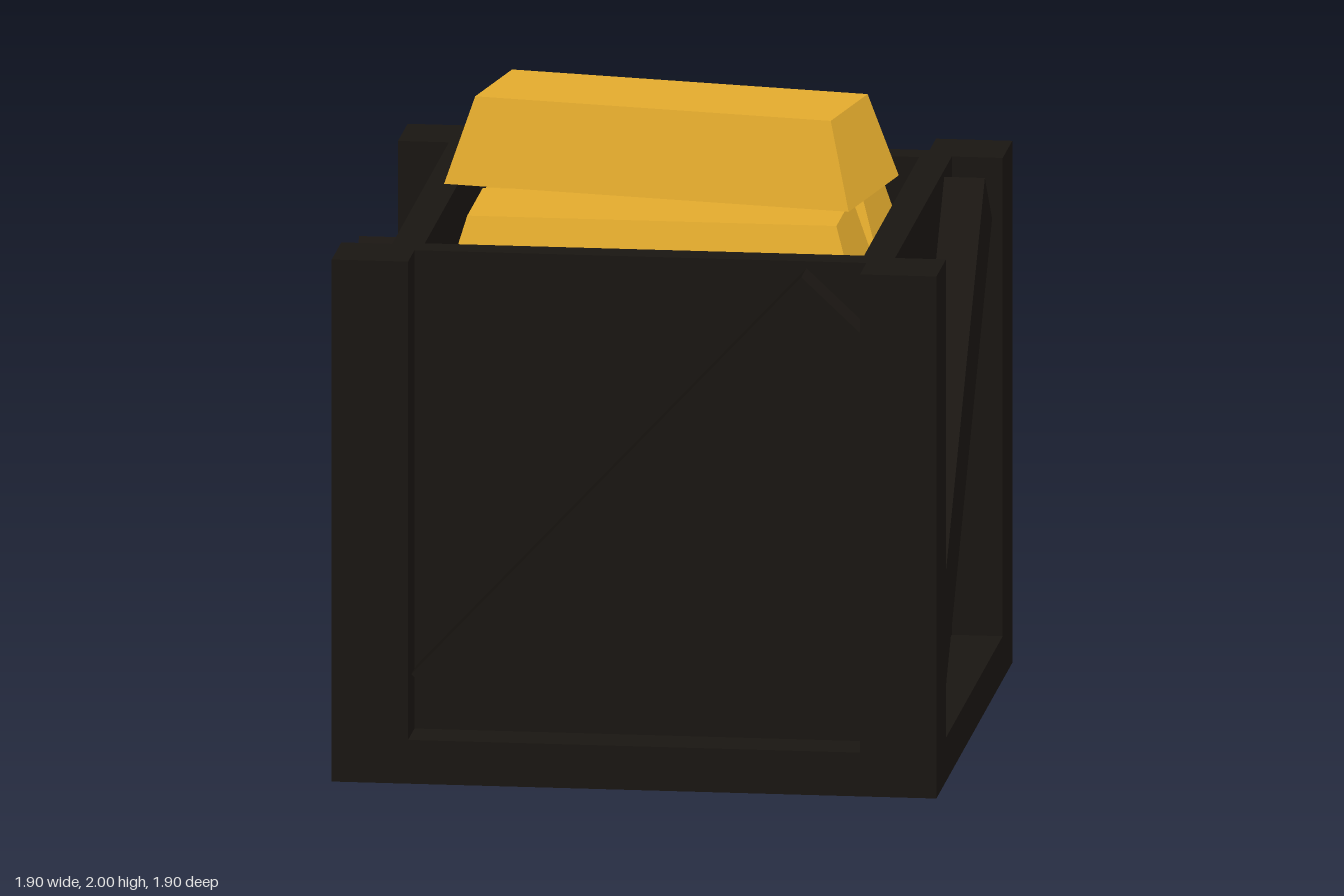
import * as THREE from 'three';

const HALF = 0.95, HEIGHT = 1.67, BEAM = 0.24, BASE = 0.14;

export function createModel() {
  const model = new THREE.Group();
  const wood = new THREE.MeshStandardMaterial({ color: 0x1a1612, flatShading: true });
  const gold = new THREE.MeshStandardMaterial({ color: 0xe6ad2e, flatShading: true });

  function box(parent, name, w, h, d, x, y, z, material = wood) {
    const mesh = new THREE.Mesh(new THREE.BoxGeometry(w, h, d), material);
    mesh.name = name;
    mesh.position.set(x, y, z);
    parent.add(mesh);
    return mesh;
  }

  // Four identical crate sides, turned about the vertical axis
  const inner = HALF - BEAM;
  for (let i = 0; i < 4; i++) {
    const side = new THREE.Group();
    side.name = 'crateSide';
    side.rotation.y = i * Math.PI / 2;
    const mid = HALF - BEAM / 2;
    box(side, 'cornerPost', BEAM, HEIGHT, BEAM, mid, HEIGHT / 2, mid);
    box(side, 'bottomRail', 2 * inner, BASE, BEAM, 0, BASE / 2, mid);
    box(side, 'panel', 1.48, HEIGHT - BASE, 0.1, 0, (HEIGHT + BASE) / 2, 0.74);
    const brace = box(side, 'diagonalBrace', 1.79, 0.25, 0.135, 0, 0.91, 0.85);
    brace.rotation.z = 0.817;
    model.add(side);
  }
  box(model, 'floor', 2 * inner, 0.06, 2 * inner, 0, BASE + 0.03, 0);

  // Gold layer filling the crate below the loose bars
  box(model, 'goldFill', 1.38, 0.3, 1.38, 0, 1.27, 0, gold);

  // Gold bar: a box whose top face is narrowed
  const barShape = new THREE.BoxGeometry(1.32, 0.27, 0.53);
  const p = barShape.attributes.position;
  for (let i = 0; i < p.count; i++) {
    if (p.getY(i) > 0) {
      p.setX(i, Math.sign(p.getX(i)) * 0.58);
      p.setZ(i, Math.sign(p.getZ(i)) * 0.195);
    }
  }
  barShape.computeVertexNormals();
  function bar(name, y, z, turn) {
    const mesh = new THREE.Mesh(barShape, gold);
    mesh.name = name;
    mesh.position.set(-0.005, y, z);
    mesh.rotation.y = turn;
    model.add(mesh);
  }
  bar('frontBar', 1.575, 0.27, 0);
  bar('backBar', 1.575, -0.305, 0);
  bar('topBar', 1.865, -0.025, -Math.PI / 18);

  return model;
}
